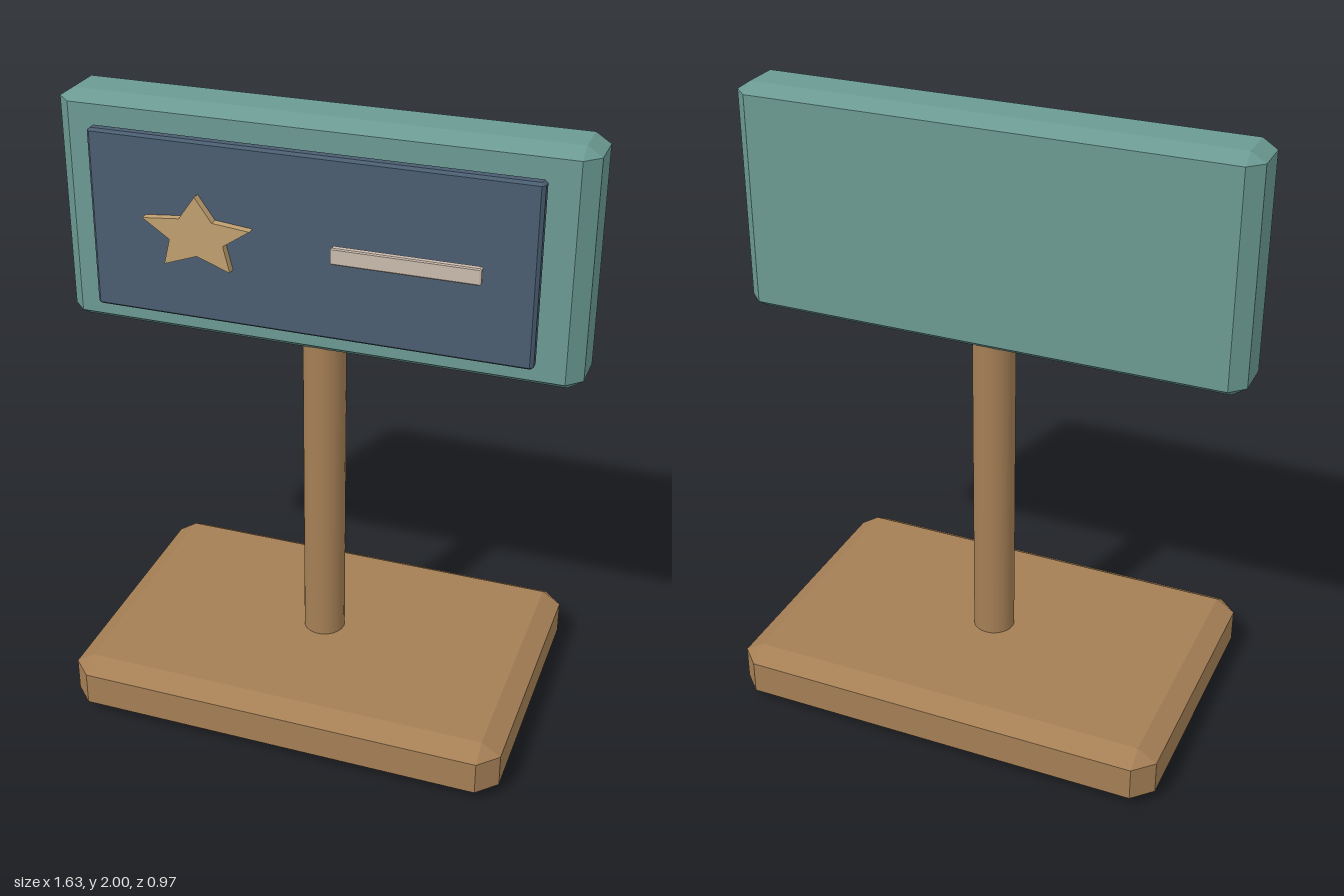
import * as THREE from 'three';
import { ConvexGeometry } from 'three/addons/geometries/ConvexGeometry.js';

const paint = (name, color) => {
  const m = new THREE.MeshStandardMaterial({ color });
  m.name = name;
  return m;
};

// Box with chamfered edges and corners; size and chamfer are given per axis.
function chamferBox(w, h, d, bx, by, bz) {
  const half = [w / 2, h / 2, d / 2];
  const inner = [w / 2 - bx, h / 2 - by, d / 2 - bz];
  const points = [];
  for (let axis = 0; axis < 3; axis++)
    for (const sx of [-1, 1]) for (const sy of [-1, 1]) for (const sz of [-1, 1]) {
      const s = [sx, sy, sz];
      points.push(new THREE.Vector3(...s.map((v, i) => v * (i === axis ? half[i] : inner[i]))));
    }
  return new ConvexGeometry(points);
}

// Five-pointed star, wider than tall.
function starGeometry(rx, ry, ratio, depth) {
  const shape = new THREE.Shape();
  for (let i = 0; i < 10; i++) {
    const a = Math.PI / 2 + (i * Math.PI) / 5;
    const k = i % 2 ? ratio : 1;
    shape[i ? 'lineTo' : 'moveTo'](Math.cos(a) * rx * k, Math.sin(a) * ry * k);
  }
  shape.closePath();
  return new THREE.ExtrudeGeometry(shape, { depth, bevelEnabled: false });
}

export function createModel() {
  const wood = paint('wood brown', 0xa57f55);
  const teal = paint('teal', 0x6b9a92);
  const slate = paint('slate blue', 0x4a5d70);
  const gold = paint('dull gold', 0xc0a070);
  const cream = paint('pale cream', 0xcabbae);

  const model = new THREE.Group();
  model.name = 'signpost';
  const add = (name, geometry, material, x, y, z) => {
    const mesh = new THREE.Mesh(geometry, material);
    mesh.name = name;
    mesh.position.set(x, y, z);
    model.add(mesh);
  };

  // Stand
  add('base', chamferBox(1.444, 0.19, 0.97, 0.062, 0.04, 0.062), wood, 0, 0.095, 0);
  add('post', new THREE.CylinderGeometry(0.068, 0.068, 1.15, 24), wood, 0, 0.725, 0);

  // Sign board with its raised front panel
  add('board', chamferBox(1.634, 0.74, 0.21, 0.046, 0.03, 0.045), teal, 0, 1.63, 0);
  add('panel', chamferBox(1.372, 0.566, 0.044, 0.01, 0.008, 0.01), slate, 0, 1.633, 0.142);

  // Emblems on the panel
  add('star', starGeometry(0.179, 0.124, 0.5, 0.074), gold, -0.335, 1.631, 0.116);
  add('bar', chamferBox(0.445, 0.052, 0.022, 0.005, 0.004, 0.003), cream, 0.308, 1.633, 0.188);

  return model;
}
